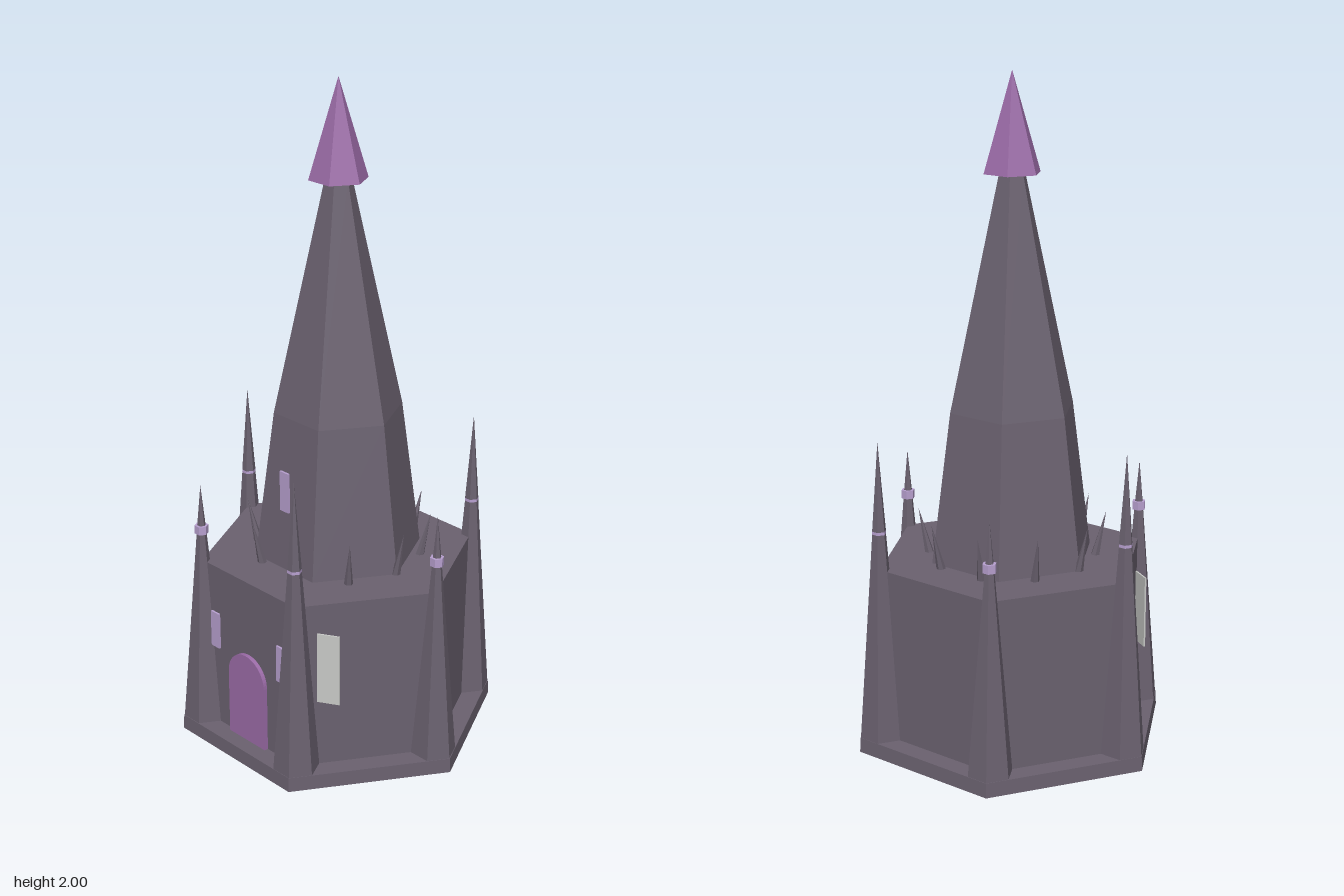
import * as THREE from 'three';

const mat = (name, color) => {
  const m = new THREE.MeshStandardMaterial({ color, flatShading: true });
  m.name = name;
  return m;
};

export function createModel() {
  const stone = mat('dark stone', 0x6b6270);
  const purple = mat('purple', 0x9c6ca8);
  const lavender = mat('lavender', 0xb8a0d0);
  const pane = mat('pale glass', 0xc9cbc8);
  const model = new THREE.Group();
  model.name = 'hexagonalTower';

  const add = (parent, name, geo, material, x = 0, y = 0, z = 0) => {
    const mesh = new THREE.Mesh(geo, material);
    mesh.name = name;
    mesh.position.set(x, y, z);
    parent.add(mesh);
    return mesh;
  };
  // Hexagonal frustum from y0 to y1 with two corners on the x axis
  const hex = (parent, name, r0, r1, y0, y1, material) =>
    add(parent, name, new THREE.CylinderGeometry(r1, r0, y1 - y0, 6, 1, false, Math.PI / 6),
      material, 0, (y0 + y1) / 2, 0);

  // Plinth, hall and central tower
  hex(model, 'plinth', 0.487, 0.485, 0, 0.045, stone);
  hex(model, 'hall', 0.415, 0.415, 0.045, 0.567, stone);
  hex(model, 'towerLower', 0.253, 0.193, 0.567, 1.02, stone);
  hex(model, 'towerUpper', 0.193, 0.04, 1.02, 1.71, stone);
  hex(model, 'towerRoof', 0.087, 0, 1.71, 2, purple);

  // Corner buttresses, alternating short and tall pinnacles
  for (let i = 0; i < 6; i++) {
    const a = i * Math.PI / 3;
    const spire = new THREE.Group();
    spire.name = 'cornerSpire';
    spire.position.set(0.415 * Math.cos(a), 0, 0.415 * Math.sin(a));
    model.add(spire);
    if (i % 2 === 0) {
      hex(spire, 'buttress', 0.072, 0.0145, 0, 0.66, stone);
      hex(spire, 'collar', 0.021, 0.021, 0.656, 0.682, lavender);
      hex(spire, 'pinnacle', 0.0125, 0, 0.682, 0.81, stone);
    } else {
      hex(spire, 'buttress', 0.072, 0.021, 0, 0.679, stone);
      hex(spire, 'collar', 0.0212, 0.0208, 0.679, 0.688, lavender);
      hex(spire, 'pinnacle', 0.021, 0, 0.688, 0.957, stone);
    }
  }

  // Ring of ten roof spikes leaning outward
  for (let i = 0; i < 10; i++) {
    const holder = new THREE.Group();
    holder.name = 'roofSpike';
    holder.rotation.y = i * Math.PI / 5;
    model.add(holder);
    const geo = new THREE.ConeGeometry(0.014, 0.145, 6);
    geo.translate(0, 0.0725, 0);
    add(holder, 'spike', geo, stone, 0.248, 0.562, 0).rotation.z = -0.22;
  }

  // Arched door
  const arch = new THREE.Shape();
  arch.moveTo(-0.08, 0.045);
  arch.lineTo(0.08, 0.045);
  arch.lineTo(0.08, 0.25);
  arch.absarc(0, 0.25, 0.08, 0, Math.PI, false);
  arch.closePath();
  add(model, 'door', new THREE.ExtrudeGeometry(arch,
    { depth: 0.014, bevelEnabled: false, curveSegments: 12 }), purple, 0, 0, 0.358);

  // Windows beside the door, angled side windows and the tower window
  for (const s of [-1, 1]) {
    add(model, 'frontWindow', new THREE.BoxGeometry(0.036, 0.115, 0.008), lavender,
      s * 0.148, 0.358, 0.362);
    add(model, 'sideWindow', new THREE.BoxGeometry(0.068, 0.222, 0.005), pane,
      s * 0.27, 0.366, 0.288).rotation.y = s * Math.PI / 6;
  }
  add(model, 'towerWindow', new THREE.BoxGeometry(0.036, 0.124, 0.007), lavender, 0, 0.812, 0.212);

  return model;
}
